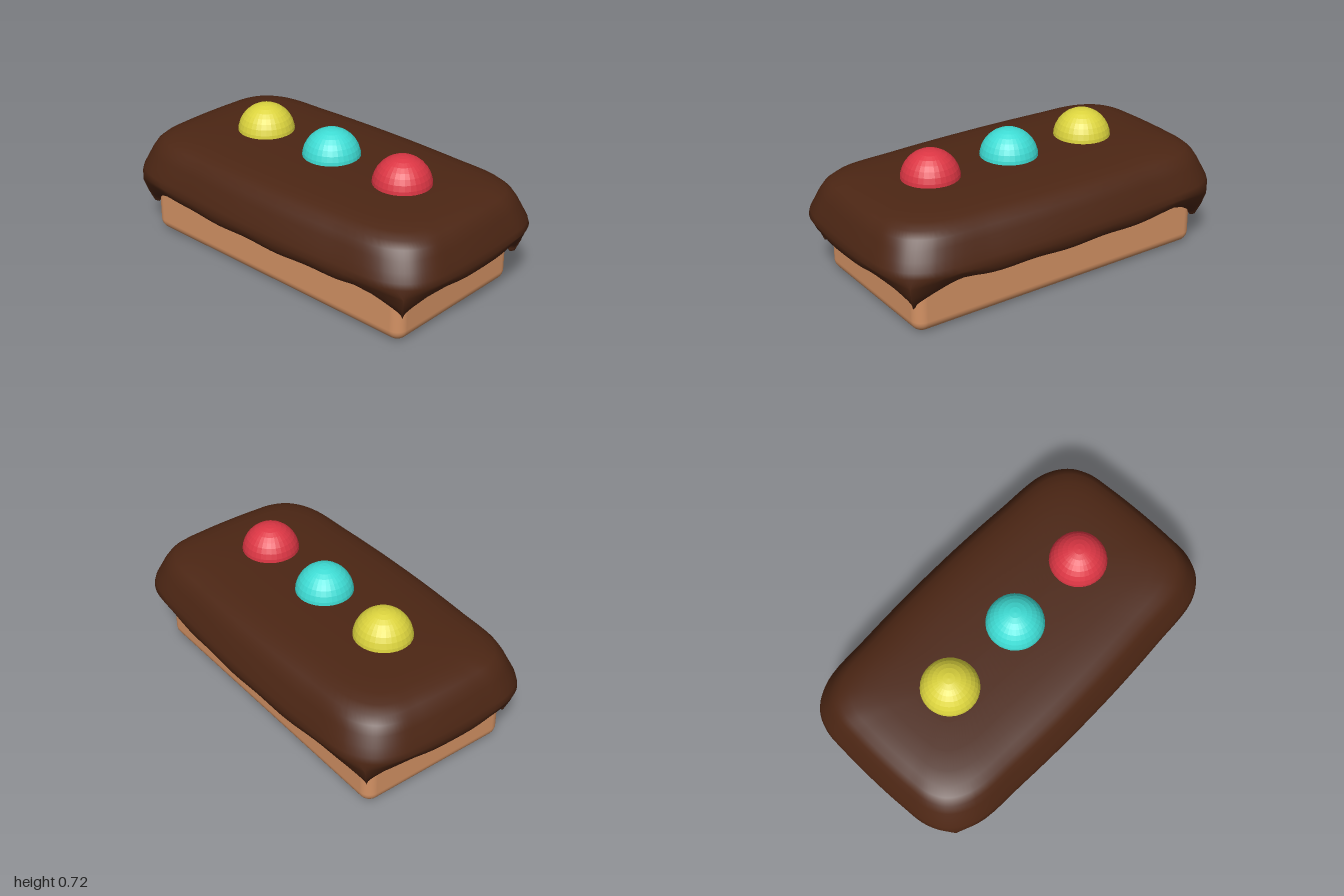
import * as THREE from 'three';
import { RoundedBoxGeometry } from 'three/addons/geometries/RoundedBoxGeometry.js';

const lerp = THREE.MathUtils.lerp;

// Widest outline of the icing: one quarter mirrored into a closed smooth loop
function icingOutline(count) {
  const quarter = [[1, 0], [0.995, 0.2], [0.98, 0.35], [0.925, 0.455], [0.8, 0.53], [0.5, 0.555], [0.2, 0.568]];
  const pts = [...quarter, [0, 0.57]];
  for (let i = quarter.length - 1; i >= 0; i--) pts.push([-quarter[i][0], quarter[i][1]]);
  for (let i = pts.length - 2; i > 0; i--) pts.push([pts[i][0], -pts[i][1]]);
  const curve = new THREE.CatmullRomCurve3(pts.map(([x, z]) => new THREE.Vector3(x, 0, z)), true);
  return Array.from({ length: count }, (_, i) => curve.getPoint(i / count));
}

// Icing skin: rings from the top, over the bulge, down to a dripping lip and tucked under
function icingGeometry() {
  const count = 168;
  const outline = icingOutline(count);
  const upper = [[0.56, 0.578], [0.4, 0.577], [0.28, 0.571], [0.2, 0.563], [0.145, 0.55], [0.1, 0.532],
    [0.07, 0.505], [0.047, 0.465], [0.025, 0.415], [0.007, 0.375], [0, 0.345]];
  const positions = [];
  const put = (p, inset, y) => positions.push(p.x * (1 - inset), y, p.z * (1 - inset / 0.57));
  for (const [inset, y] of upper) for (const p of outline) put(p, inset, y);

  // Lower rings: side inset and height, then the corner drip's half sizes and height
  const lower = [
    [0.006, 0.315, 0.905, 0.475, 0.29],
    [0.02, 0.288, 0.89, 0.455, 0.22],
    [0.04, 0.28, 0.87, 0.432, 0.158],
    [0.07, 0.287, 0.85, 0.42, 0.155],
    [0.11, 0.305, 0.835, 0.41, 0.18],
    [0.18, 0.33, 0.82, 0.395, 0.24],
  ];
  for (const [inset, y, cx, cz, cy] of lower) {
    for (const p of outline) {
      const d = Math.hypot(Math.abs(p.x) - 0.885, Math.abs(p.z) - 0.485);
      const w = Math.pow(Math.max(0, 1 - d / 0.24), 1.1);
      const lift = 0.014 * Math.exp(-Math.pow((d - 0.22) / 0.1, 2));
      const wave = 0.004 * Math.sin(p.x * 15 + p.z * 4);
      positions.push(
        lerp(p.x * (1 - inset), Math.sign(p.x) * cx, w),
        lerp(y + lift + wave, cy, w),
        lerp(p.z * (1 - inset / 0.57), Math.sign(p.z) * cz, w));
    }
  }

  const index = [];
  const rings = upper.length + lower.length;
  for (let i = 0; i < rings - 1; i++) {
    for (let j = 0; j < count; j++) {
      const k = (j + 1) % count;
      const a = i * count + j, b = i * count + k;
      index.push(a, b, a + count, b, b + count, a + count);
    }
  }
  // Close the narrow strip left along the middle of the top
  for (let j = 1; j < count / 2; j++) {
    const a = j - 1, b = j, c = count - j, e = (count - j + 1) % count;
    index.push(a, c, b);
    if (j > 1) index.push(a, e, c);
  }
  const geometry = new THREE.BufferGeometry();
  geometry.setAttribute('position', new THREE.Float32BufferAttribute(positions, 3));
  geometry.setIndex(index);
  geometry.computeVertexNormals();
  return geometry;
}

export function createModel() {
  const model = new THREE.Group();
  model.name = 'icedCake';
  const add = (name, geometry, material, x, y, z) => {
    const mesh = new THREE.Mesh(geometry, new THREE.MeshStandardMaterial(material));
    mesh.name = name;
    mesh.position.set(x, y, z);
    model.add(mesh);
  };

  // Sponge base
  add('spongeBase', new RoundedBoxGeometry(1.71, 0.48, 0.855, 5, 0.06), { color: 0xd49264 }, -0.01, 0.24, 0.003);

  // Chocolate icing
  add('icing', icingGeometry(), { color: 0x4c2614, side: THREE.DoubleSide }, 0, 0, 0);

  // Candy balls along the top
  const candies = [['yellowCandy', -0.44, 0xdcd43e], ['turquoiseCandy', 0.025, 0x3edcd4], ['redCandy', 0.49, 0xdc3644]];
  for (const [name, x, color] of candies) {
    add(name, new THREE.SphereGeometry(0.15, 32, 16), { color, flatShading: true }, x, 0.566, 0.003);
  }
  return model;
}
